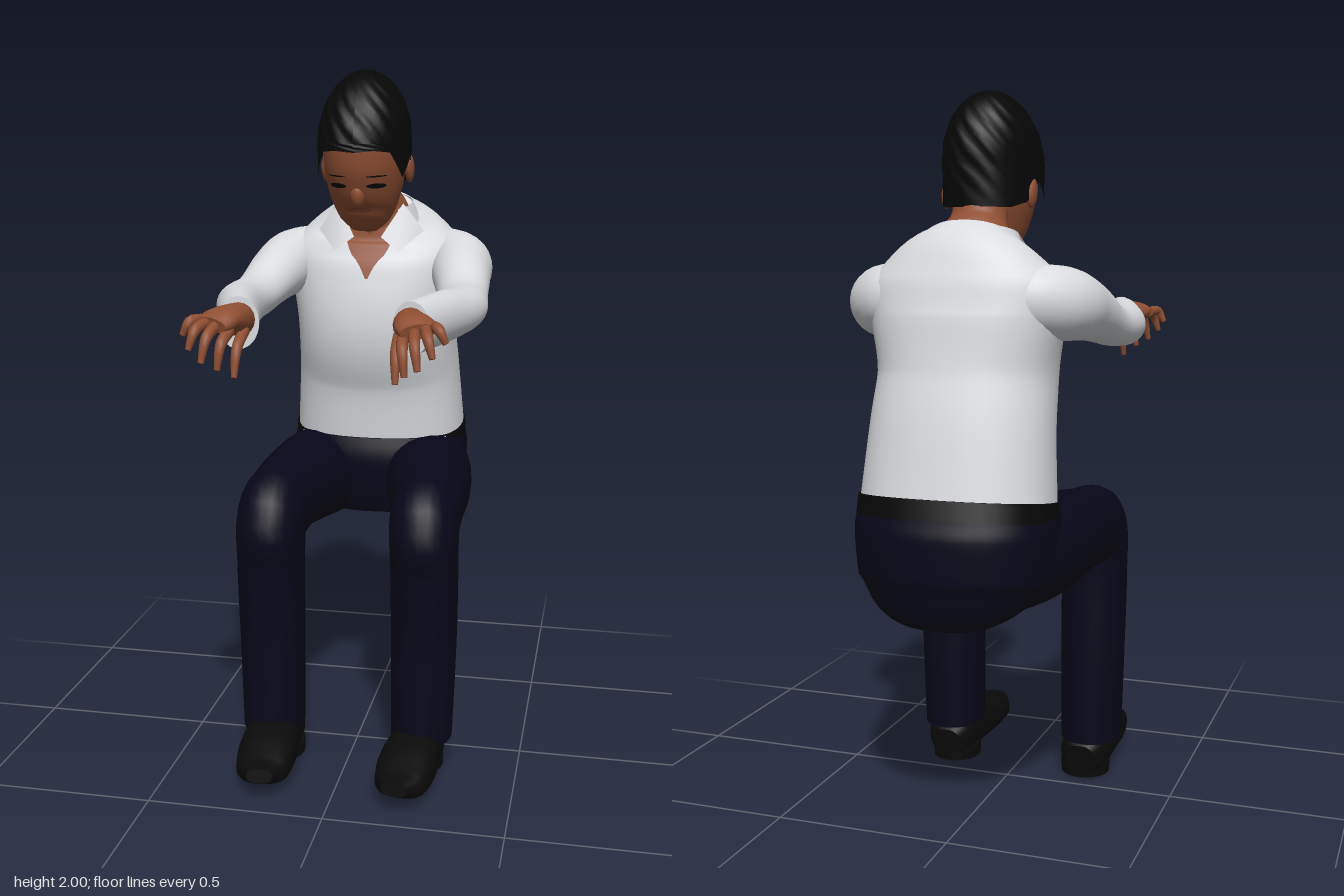
import * as THREE from 'three';

const mat = (name, color, double) => {
  const m = new THREE.MeshStandardMaterial({ color });
  m.name = name;
  if (double) m.side = THREE.DoubleSide;
  return m;
};

// Smooth surface through cross-sections [x, y, z, halfWidth, halfDepth]; s counts sections, ang goes round
function surface(secs, power = 2) {
  const n = secs.length - 1;
  const path = new THREE.CatmullRomCurve3(secs.map(p => new THREE.Vector3(p[0], p[1], p[2])));
  const size = new THREE.CatmullRomCurve3(secs.map(p => new THREE.Vector3(p[3], p[4], 0)));
  const round = c => Math.sign(c) * Math.pow(Math.abs(c), 2 / power);
  const at = (s, ang, grow = 0) => {
    const t = THREE.MathUtils.clamp(s / n, 0, 1);
    const c = path.getPoint(t), r = size.getPoint(t), d = path.getTangent(t);
    const u = new THREE.Vector3(1, 0, 0).addScaledVector(d, -d.x).normalize();
    const v = new THREE.Vector3().crossVectors(d, u);
    return c.addScaledVector(u, (r.x + grow) * round(Math.cos(ang)))
      .addScaledVector(v, (r.y + grow) * round(Math.sin(ang)));
  };
  return { n, at, path };
}

function geometry(pos, idx) {
  const g = new THREE.BufferGeometry();
  g.setAttribute('position', new THREE.Float32BufferAttribute(pos, 3));
  g.setIndex(idx);
  g.computeVertexNormals();
  return g;
}

// Closed loft with flat end caps
function loft(surf, seg = 28, steps = 5) {
  const pos = [], idx = [], rows = surf.n * steps;
  const ring = s => {
    const base = pos.length / 3;
    for (let j = 0; j < seg; j++) pos.push(...surf.at(s, j / seg * Math.PI * 2).toArray());
    return base;
  };
  for (let i = 0; i <= rows; i++) ring(i / steps);
  for (let i = 0; i < rows; i++) for (let j = 0; j < seg; j++) {
    const a = i * seg + j, b = i * seg + (j + 1) % seg;
    idx.push(a, b, a + seg, b, b + seg, a + seg);
  }
  for (const end of [0, 1]) {
    const base = ring(end * surf.n), mid = pos.length / 3;
    pos.push(...surf.path.getPoint(end).toArray());
    for (let j = 0; j < seg; j++) {
      const a = base + j, b = base + (j + 1) % seg;
      idx.push(mid, end ? a : b, end ? b : a);
    }
  }
  return geometry(pos, idx);
}

// Open grid from a point function of (v, u), both 0..1
function grid(fn, rows, cols) {
  const pos = [], idx = [], w = cols + 1;
  for (let i = 0; i <= rows; i++) for (let j = 0; j <= cols; j++) pos.push(...fn(i / rows, j / cols).toArray());
  for (let i = 0; i < rows; i++) for (let j = 0; j < cols; j++) {
    const a = i * w + j;
    idx.push(a, a + 1, a + w, a + 1, a + w + 1, a + w);
  }
  return geometry(pos, idx);
}

// Thin patch lying on a surface, centred on angle mid with half-angle half(v)
const patch = (surf, s0, s1, mid, half, grow = 0.004, cols = 12) => grid((v, u) =>
  surf.at(s0 + (s1 - s0) * v, mid + (u * 2 - 1) * half(v), grow), 12, cols);

export function createModel() {
  const model = new THREE.Group();
  model.name = 'seatedFigure';
  const skin = mat('brown skin', 0x8f4f33, true);
  const lipTone = mat('lip brown', 0x7e4430, true);
  const black = mat('hair and belt black', 0x070707, true);
  const shoeBlack = mat('shoe black', 0x0a0a0a);
  const white = mat('shirt white', 0xd9dbdf, true);
  const navy = mat('trouser navy', 0x060619);
  const add = (name, geo, material) => {
    const m = new THREE.Mesh(geo, material);
    m.name = name;
    model.add(m);
    return m;
  };
  const FRONT = -Math.PI / 2;

  // Shirt body with open neck
  const torso = surface([[0, 0.9, -0.395, 0.265, 0.207], [0, 1.1, -0.36, 0.25, 0.2], [0, 1.24, -0.318, 0.242, 0.205],
    [0, 1.4, -0.315, 0.265, 0.185], [0, 1.48, -0.315, 0.272, 0.16], [0, 1.545, -0.305, 0.21, 0.135],
    [0, 1.59, -0.285, 0.138, 0.107], [0, 1.61, -0.275, 0.108, 0.09]], 2.25);
  add('shirtBody', loft(torso, 40), white);
  add('openNeck', patch(torso, 3.05, 7, FRONT, v => 0.008 + v * 0.53), skin);

  // Collar band and folded points
  const band = surface([[0, 1.57, -0.266, 0.138, 0.115], [0, 1.62, -0.254, 0.116, 0.098]]);
  add('collarBand', patch(band, 0, 1, Math.PI / 2, () => 2.35, 0, 30), white);
  for (const s of [1, -1]) {
    const flap = [[0.098, 1.62, -0.195], [0.158, 1.54, -0.21], [0.095, 1.485, -0.128], [0.04, 1.525, -0.148]];
    add('collarPoint', geometry(flap.flatMap(p => [p[0] * s, p[1], p[2]]),
      s > 0 ? [0, 3, 2, 0, 2, 1] : [0, 2, 3, 0, 1, 2]), white);
  }

  // Hips, belt and the shirt hem hanging over its front
  add('hips', loft(surface([[0, 0.632, -0.4, 0.15, 0.145], [0, 0.668, -0.408, 0.225, 0.198], [0, 0.72, -0.404, 0.264, 0.222],
    [0, 0.84, -0.396, 0.275, 0.232], [0, 0.91, -0.395, 0.265, 0.215]], 2.3), 36), navy);
  const belt = surface([[0, 0.872, -0.4, 0.27, 0.221], [0, 0.924, -0.393, 0.268, 0.212]], 2.3);
  add('belt', loft(belt, 40), black);
  add('shirtFrontHem', patch(belt, 0.5, 1, FRONT, () => 0.95, 0.003), white);

  for (const s of [1, -1]) {
    const limb = (name, secs, material, power, seg) =>
      add(name, loft(surface(secs.map(([x, ...rest]) => [x * s, ...rest]), power), seg), material);

    // Bent leg and shoe
    limb('trouserLeg', [[0.13, 0.745, -0.5, 0.1, 0.11], [0.168, 0.771, -0.29, 0.135, 0.14], [0.2, 0.777, -0.08, 0.122, 0.123],
      [0.215, 0.77, 0.04, 0.105, 0.115], [0.222, 0.738, 0.147, 0.098, 0.132], [0.225, 0.62, 0.154, 0.096, 0.113],
      [0.225, 0.4, 0.146, 0.094, 0.106], [0.222, 0.11, 0.149, 0.088, 0.11]], navy, 2.2);
    limb('shoe', [[0.215, 0.06, 0.045, 0.045, 0.045], [0.215, 0.068, 0.08, 0.068, 0.06], [0.212, 0.082, 0.2, 0.075, 0.074],
      [0.205, 0.08, 0.3, 0.083, 0.062], [0.198, 0.072, 0.39, 0.074, 0.043], [0.19, 0.082, 0.452, 0.036, 0.02]], shoeBlack, 2.7);
    const heel = add('shoeHeel', new THREE.CylinderGeometry(0.074, 0.072, 0.04, 20), shoeBlack);
    heel.scale.z = 1.07;
    heel.position.set(0.21 * s, 0.02, 0.127);

    // Sleeve, rounded over the shoulder from inside the shirt
    limb('sleeve', [[0.1, 1.45, -0.38, 0.05, 0.06], [0.185, 1.445, -0.36, 0.085, 0.092], [0.252, 1.434, -0.29, 0.096, 0.097],
      [0.277, 1.413, -0.17, 0.085, 0.083], [0.3, 1.368, -0.01, 0.071, 0.06], [0.308, 1.36, 0.1, 0.072, 0.061],
      [0.278, 1.36, 0.25, 0.06, 0.069], [0.225, 1.358, 0.44, 0.053, 0.069]], white);

    // Hand with spread, drooping fingers
    limb('palm', [[0.222, 1.365, 0.42, 0.038, 0.044], [0.228, 1.372, 0.47, 0.044, 0.042], [0.248, 1.378, 0.525, 0.053, 0.031],
      [0.262, 1.37, 0.558, 0.048, 0.02]], skin, 2, 16);
    [[0.22, 1.355, 0.54, 0.235, 1.265, 0.605], [0.25, 1.37, 0.55, 0.27, 1.285, 0.625],
      [0.277, 1.375, 0.545, 0.305, 1.315, 0.615], [0.295, 1.378, 0.525, 0.332, 1.345, 0.575],
      [0.2, 1.345, 0.475, 0.205, 1.238, 0.56]].forEach(([x, y, z, X, Y, Z], i) => limb(i < 4 ? 'finger' : 'thumb',
      [[x, y, z, 0.015, 0.015], [(x + X) / 2, (y + Y) / 2 + 0.017, (z + Z) / 2 + 0.02, 0.014, 0.014],
        [X, Y, Z, 0.008, 0.008]], skin, 2, 10));
  }

  // Neck and head
  add('neck', loft(surface([[0, 1.52, -0.285, 0.12, 0.1], [0, 1.6, -0.26, 0.104, 0.086], [0, 1.65, -0.232, 0.078, 0.068],
    [0, 1.75, -0.19, 0.07, 0.067]])), skin);
  const head = surface([[0, 1.55, -0.105, 0.035, 0.035], [0, 1.58, -0.112, 0.07, 0.076], [0, 1.62, -0.118, 0.091, 0.106],
    [0, 1.68, -0.117, 0.108, 0.136], [0, 1.74, -0.113, 0.117, 0.155], [0, 1.8, -0.11, 0.119, 0.16],
    [0, 1.88, -0.11, 0.1, 0.13], [0, 1.93, -0.11, 0.06, 0.08]]);
  add('head', loft(head, 36), skin);

  // Face details
  const ball = (name, x, y, z, rx, ry, rz, tilt) => {
    const m = add(name, new THREE.SphereGeometry(1, 16, 12), skin);
    m.position.set(x, y, z);
    m.scale.set(rx, ry, rz);
    m.rotation.x = tilt;
  };
  ball('nose', 0, 1.652, 0, 0.021, 0.034, 0.021, 0.3);
  add('lips', patch(head, 1.2, 1.65, FRONT, v => 0.4 * Math.sin(Math.PI * (0.08 + v * 0.84)), 0.006), lipTone);
  for (const s of [1, -1]) {
    const lens = v => 0.27 * Math.sqrt(Math.sin(Math.PI * (0.03 + 0.94 * v)));
    add('eye', patch(head, 3.02, 3.3, FRONT + s * 0.52, lens, 0.003), black);
    add('eyebrow', patch(head, 3.62, 3.69, FRONT + s * 0.52, lens, 0.003), black);
    ball('ear', 0.123 * s, 1.725, -0.15, 0.014, 0.042, 0.026, 0.25);
  }

  // Short cropped hair: dome above, skirt below with a hairline that dips in front of the ears and at the nape
  const hairline = [1.775, 1.78, 1.775, 1.705, 1.755, 1.7, 1.685, 1.685, 1.685];
  const hairY = a => {
    const f = Math.abs(Math.atan2(Math.sin(a), Math.cos(a))) / Math.PI * 8, i = Math.min(7, Math.floor(f));
    return THREE.MathUtils.lerp(hairline[i], hairline[i + 1], f - i);
  };
  const square = c => Math.sign(c) * Math.pow(Math.abs(c), 0.9);
  add('hair', grid((v, u) => {
    const a = u * Math.PI * 2, dome = Math.max(0, (v - 0.3) / 0.7) * Math.PI / 2;
    const tuft = 1 + 0.02 * Math.sin(a * 16 + v * 40) * Math.sin(Math.PI * v);
    const r = Math.cos(dome) * tuft;
    const low = hairY(a), y = v < 0.3 ? low + (1.8 - low) * v / 0.3 : 1.8 + 0.2 * Math.sin(dome);
    const back = -0.11 - 0.025 * Math.sin(dome);
    return new THREE.Vector3(0.13 * r * square(Math.sin(a)), y, back + 0.178 * r * square(Math.cos(a)));
  }, 30, 64), black);

  return model;
}
